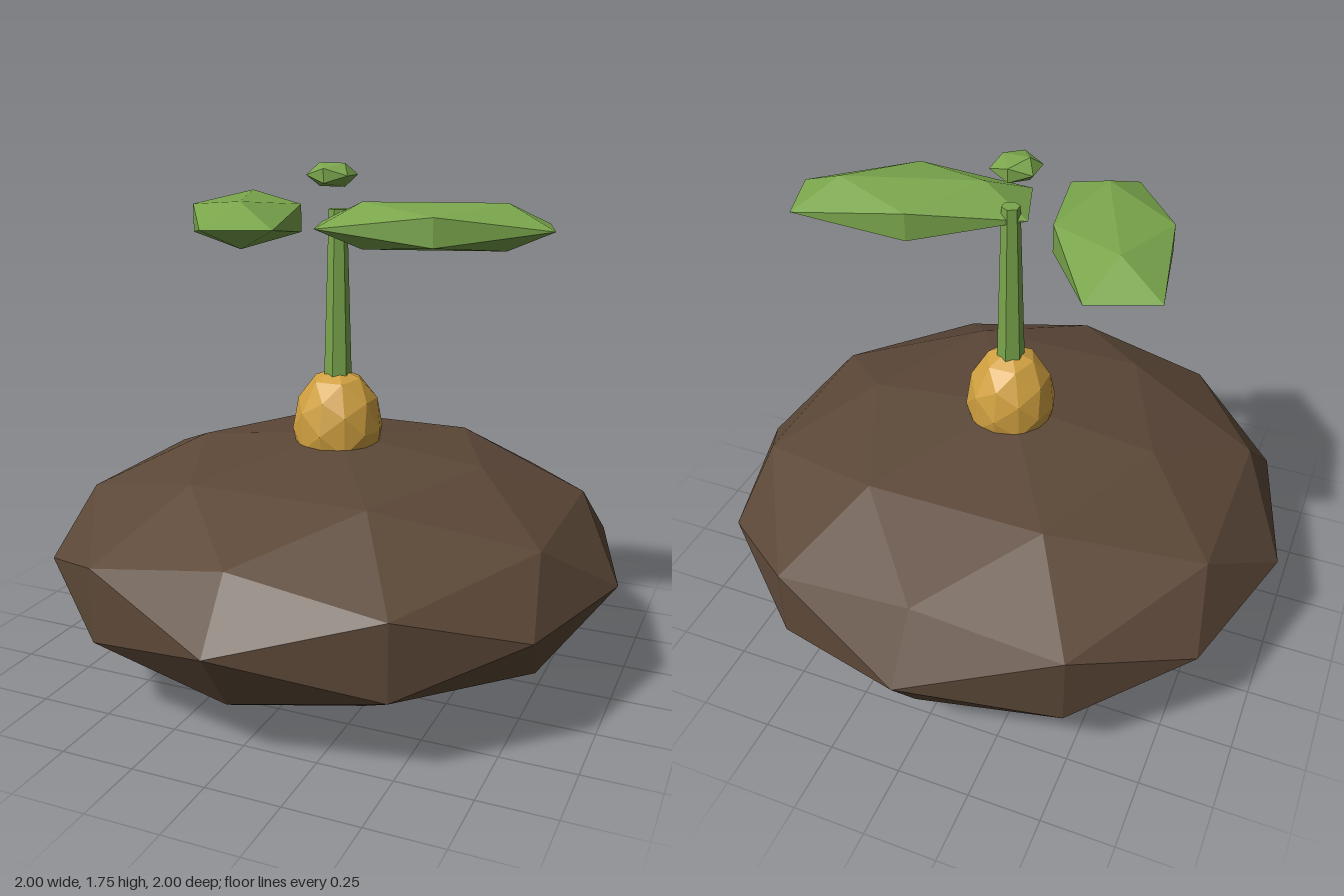
import * as THREE from 'three';

const material = (color) => new THREE.MeshStandardMaterial({ color, flatShading: true });

// Faceted ellipsoid: a scaled icosahedron, turned about the vertical axis
function blob(name, mat, detail, [sx, sy, sz], [x, y, z], turn = 0) {
  const geometry = new THREE.IcosahedronGeometry(1, detail);
  geometry.scale(sx, sy, sz);
  geometry.computeVertexNormals();
  const mesh = new THREE.Mesh(geometry, mat);
  mesh.name = name;
  mesh.position.set(x, y, z);
  mesh.rotation.y = turn;
  return mesh;
}

export function createModel() {
  const group = new THREE.Group();
  group.name = 'seedling';
  const brown = material(0x5c4838);
  const gold = material(0xd0a040);
  const green = material(0x7aa64c);

  // Soil mound and the seed half sunk into it
  group.add(blob('soilMound', brown, 1, [1, 0.41, 1], [0, 0.413, 0]));
  group.add(blob('seed', gold, 1, [0.158, 0.21, 0.158], [0, 0.848, 0]));

  // Tapered six-sided stem
  const stem = new THREE.Mesh(new THREE.CylinderGeometry(0.031, 0.053, 0.75, 6), green);
  stem.name = 'stem';
  stem.position.y = 1.225;
  group.add(stem);

  // Two long leaves, one on each side
  const leafSize = [0.447, 0.091, 0.219];
  group.add(blob('leftLeaf', green, 0, leafSize, [0.34, 1.556, 0], 0.3));
  group.add(blob('rightLeaf', green, 0, leafSize, [-0.34, 1.556, 0], -1.19));

  // Small bud above the stem
  group.add(blob('bud', green, 0, [0.086, 0.045, 0.086], [0, 1.715, 0.047]));
  return group;
}
